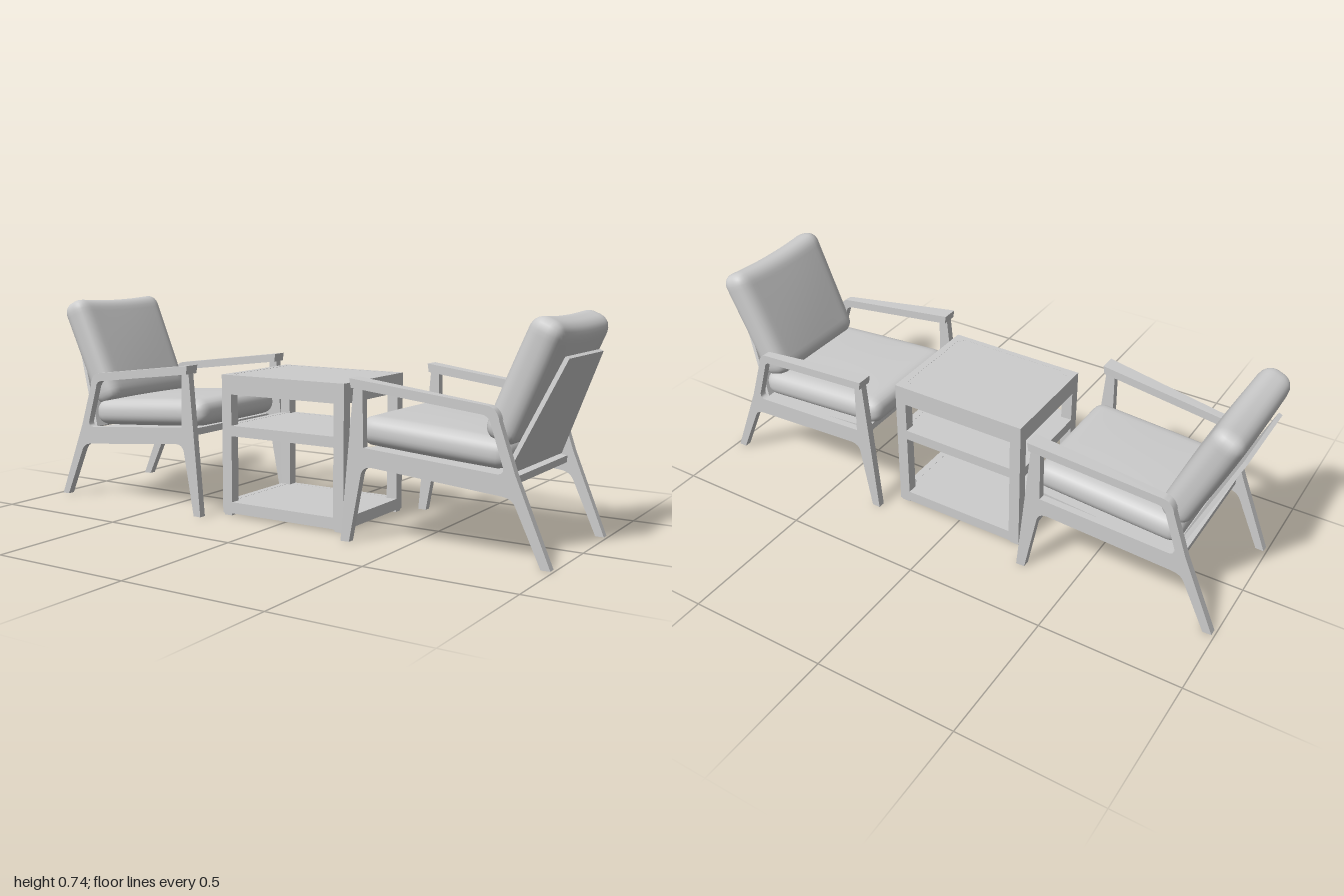
import * as THREE from 'three';
import { mergeVertices, toCreasedNormals } from 'three/addons/utils/BufferGeometryUtils.js';

const grey = new THREE.MeshStandardMaterial({ color: 0xcccccc });
grey.name = 'light grey';

function add(parent, name, geometry, x = 0, y = 0, z = 0) {
  const mesh = new THREE.Mesh(geometry, grey);
  mesh.name = name;
  mesh.position.set(x, y, z);
  parent.add(mesh);
  return mesh;
}

const box = (w, h, d) => new THREE.BoxGeometry(w, h, d);
const lerp = THREE.MathUtils.lerp;

// Extrudes a side profile, then sets its inner and outer z as a function of x
function sidePiece(shape, inner, outer, side) {
  const geo = new THREE.ExtrudeGeometry(shape, { depth: 1, bevelEnabled: false, curveSegments: 6 });
  const p = geo.attributes.position;
  for (let i = 0; i < p.count; i++) {
    const x = p.getX(i);
    const t = side > 0 ? p.getZ(i) : 1 - p.getZ(i);
    p.setZ(i, side * lerp(inner(x), outer(x), t));
  }
  return toCreasedNormals(geo, 0.5);
}

// Soft cushion: a rounded box whose broad faces (along y) swell in the middle
function cushion(w, h, d, r, puff) {
  const geo = new THREE.BoxGeometry(w, h, d, 28, 10, 28);
  const p = geo.attributes.position;
  const v = new THREE.Vector3(), core = new THREE.Vector3();
  const lim = new THREE.Vector3(w / 2 - r, h / 2 - r, d / 2 - r);
  for (let i = 0; i < p.count; i++) {
    v.fromBufferAttribute(p, i);
    core.copy(v).clamp(lim.clone().negate(), lim);
    v.sub(core).setLength(r).add(core);
    const a = 1 - (2 * v.x / w) ** 2, b = 1 - (2 * v.z / d) ** 2;
    v.y *= 1 + puff * Math.max(0, a * b);
    p.setXYZ(i, v.x, v.y, v.z);
  }
  geo.deleteAttribute('normal');
  geo.deleteAttribute('uv');
  const smooth = mergeVertices(geo, 1e-5);
  smooth.computeVertexNormals();
  return smooth;
}

// Legs, rail and posts of one side, in profile
function frameShape() {
  const s = new THREE.Shape();
  s.moveTo(0.289, 0);
  s.lineTo(0.32, 0);
  s.lineTo(0.361, 0.222);
  s.quadraticCurveTo(0.367, 0.252, 0.4, 0.25);
  s.lineTo(0.835, 0.207);
  s.quadraticCurveTo(0.865, 0.204, 0.877, 0.18);
  s.lineTo(0.96, 0);
  s.lineTo(0.99, 0);
  s.lineTo(0.875, 0.275);
  s.lineTo(0.815, 0.45);
  s.lineTo(0.78, 0.462);
  s.lineTo(0.335, 0.515);
  s.closePath();
  const hole = new THREE.Path();
  hole.moveTo(0.37, 0.312);
  hole.lineTo(0.366, 0.5);
  hole.lineTo(0.765, 0.45);
  hole.quadraticCurveTo(0.787, 0.447, 0.793, 0.428);
  hole.lineTo(0.836, 0.295);
  hole.quadraticCurveTo(0.841, 0.272, 0.815, 0.273);
  hole.closePath();
  s.holes.push(hole);
  return s;
}

// Armrest with its rounded rear corner, in profile
function armShape() {
  const s = new THREE.Shape();
  s.moveTo(0.333, 0.503);
  s.lineTo(0.765, 0.449);
  s.quadraticCurveTo(0.787, 0.446, 0.793, 0.428);
  s.lineTo(0.822, 0.435);
  s.quadraticCurveTo(0.812, 0.474, 0.78, 0.477);
  s.lineTo(0.328, 0.533);
  s.closePath();
  return s;
}

function createChair() {
  const chair = new THREE.Group();
  const inner = x => lerp(0.255, 0.223, (x - 0.3) / 0.67);
  const armT = x => (x - 0.33) / 0.49;
  for (const side of [1, -1]) {
    add(chair, 'sideFrame', sidePiece(frameShape(), inner, x => inner(x) + 0.026, side));
    add(chair, 'armrest', sidePiece(armShape(),
      x => lerp(0.237, 0.229, armT(x)), x => lerp(0.295, 0.257, armT(x)), side));
  }

  // Seat board, lower at the back
  const board = add(chair, 'seatBoard', box(0.5, 0.024, 0.46), 0.605, 0.268, 0);
  board.rotation.z = -0.085;

  // Tapered back board, leaning away from the seat
  const s = new THREE.Shape([[-0.226, 0], [0.226, 0], [0.15, 0.385], [-0.15, 0.385]]
    .map(([x, y]) => new THREE.Vector2(x, y)));
  const backGeo = new THREE.ExtrudeGeometry(s, { depth: 0.014, bevelEnabled: false });
  backGeo.rotateY(Math.PI / 2).translate(-0.014, 0, 0);
  add(chair, 'backBoard', backGeo, 0.836, 0.265, 0).rotation.z = -0.414;

  // Cushions
  add(chair, 'seatCushion', cushion(0.52, 0.094, 0.46, 0.042, 0.14), 0.577, 0.34, 0).rotation.z = -0.07;
  const backGeo2 = cushion(0.41, 0.11, 0.46, 0.045, 0.14);
  backGeo2.rotateZ(Math.PI / 2);
  // Upper corners stand slightly proud, lower end is narrower
  const p = backGeo2.attributes.position;
  for (let i = 0; i < p.count; i++) {
    const t = p.getY(i) / 0.41 + 0.5, z = p.getZ(i);
    p.setY(i, p.getY(i) + 0.012 * t * ((z / 0.23) ** 2 - 0.5));
    p.setZ(i, z * lerp(0.95, 1, t));
  }
  backGeo2.computeVertexNormals();
  add(chair, 'backCushion', backGeo2, 0.869, 0.545, 0).rotation.z = -0.414;
  return chair;
}

function createTable() {
  const table = new THREE.Group();
  table.name = 'sideTable';
  for (const x of [-1, 1]) for (const z of [-1, 1]) {
    add(table, 'tableLeg', box(0.04, 0.492, 0.038), x * 0.23, 0.254, z * 0.181);
    add(table, 'foot', box(0.032, 0.01, 0.03), x * 0.23, 0.005, z * 0.181);
  }
  // Rails around the top, middle shelf and bottom shelf, each with a panel: [name, low, high]
  for (const [name, low, high] of [['top', 0.432, 0.5], ['middle', 0.285, 0.322], ['bottom', 0.009, 0.049]]) {
    const h = high - low, y = (high + low) / 2;
    for (const k of [-1, 1]) {
      add(table, name + 'LongRail', box(0.42, h, 0.02), 0, y, k * 0.19);
      add(table, name + 'ShortRail', box(0.025, h, 0.324), k * 0.2375, y, 0);
    }
    add(table, name + 'Panel', box(0.45, 0.02, 0.36), 0, high - 0.0105, 0);
  }
  return table;
}

export function createModel() {
  const model = new THREE.Group();
  model.name = 'loungeSet';
  const leftChair = createChair();
  leftChair.name = 'leftChair';
  const rightChair = createChair();
  rightChair.name = 'rightChair';
  rightChair.rotation.y = Math.PI;
  model.add(leftChair, rightChair, createTable());
  return model;
}
